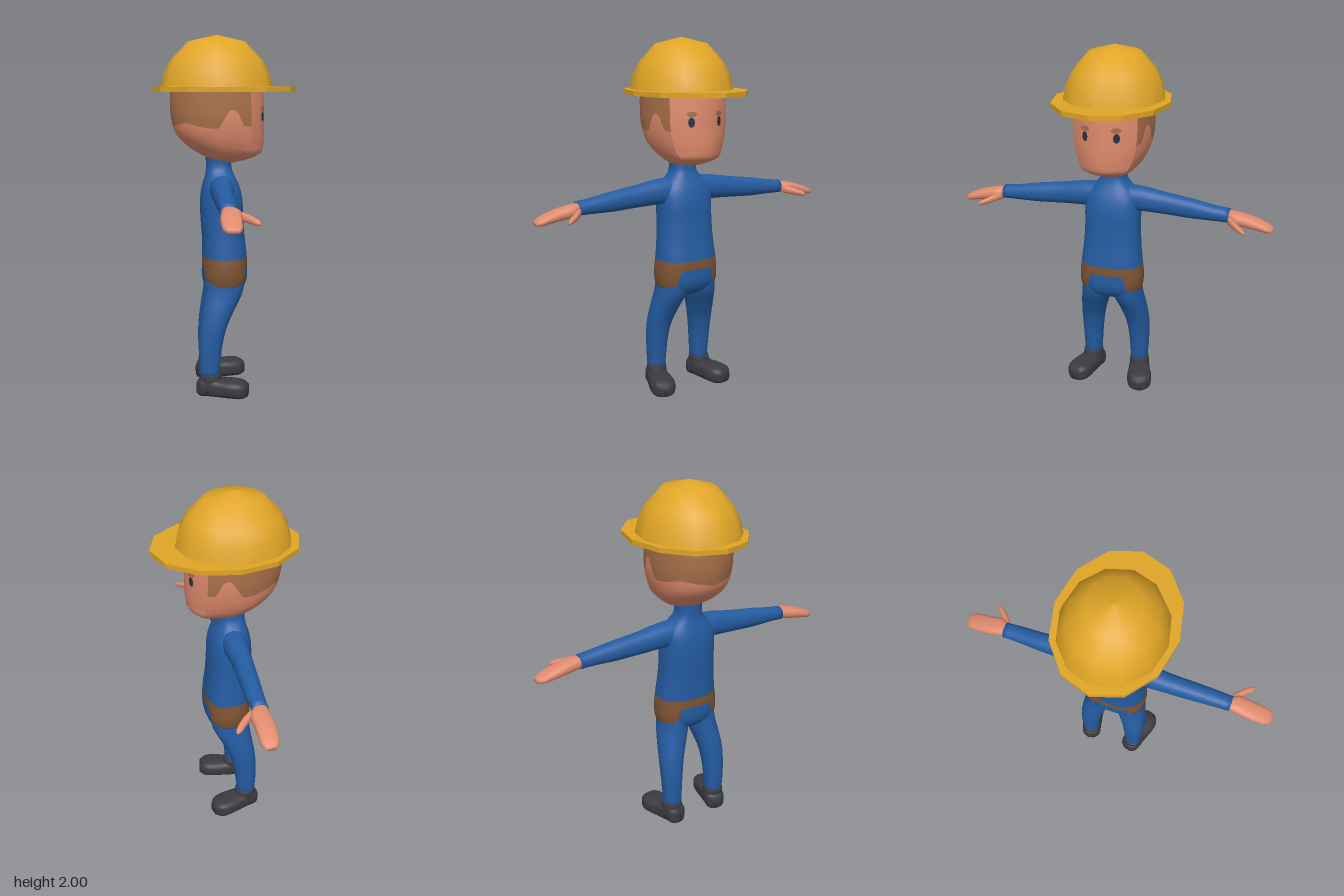
import * as THREE from 'three';
import { mergeVertices } from 'three/addons/utils/BufferGeometryUtils.js';

const mat = (name, color) => Object.assign(new THREE.MeshStandardMaterial({ color }), { name });

// Smooth curve through rows of [key, value, value, ...]
function track(rows) {
  const size = rows[0].length - 1;
  const curve = new THREE.CubicInterpolant(rows.map(r => r[0]), rows.flatMap(r => r.slice(1)), size, new Float32Array(size));
  return t => Array.from(curve.evaluate(t));
}

// Straight-line interpolation through [key, value] pairs
function polyline(pairs, t) {
  for (let i = 1; i < pairs.length; i++) {
    const [a, va] = pairs[i - 1], [b, vb] = pairs[i];
    if (t <= b) return va + (vb - va) * Math.max(0, (t - a) / (b - a));
  }
  return pairs[pairs.length - 1][1];
}

// Grid surface from point(u, v), welded so closed loops shade smoothly
function surface(nu, nv, point) {
  const pos = [], index = [];
  for (let j = 0; j <= nv; j++) for (let i = 0; i <= nu; i++) pos.push(...point(i / nu, j / nv));
  for (let j = 0; j < nv; j++) for (let i = 0; i < nu; i++) {
    const a = j * (nu + 1) + i, b = a + nu + 1;
    index.push(a, a + 1, b + 1, a, b + 1, b);
  }
  const g = new THREE.BufferGeometry();
  g.setAttribute('position', new THREE.Float32BufferAttribute(pos, 3));
  g.setIndex(index);
  const welded = mergeVertices(g, 1e-5);
  welded.computeVertexNormals();
  return welded;
}

const bend = (s, n) => Math.sign(s) * Math.abs(s) ** (2 / n);

// Rounded tube along an axis; rows: [along, centreA, centreB, radiusA, radiusB]
function loft(rows, axis, nu = 24, nv = 24, n = 2.2) {
  const at = track(rows), t0 = rows[0][0], t1 = rows[rows.length - 1][0];
  return surface(nu, nv + 2, (u, v) => {
    const k = Math.round(v * (nv + 2));
    const t = t0 + (t1 - t0) * Math.min(1, Math.max(0, (k - 1) / nv));
    const [ca, cb, ra, rb] = at(t), cap = k === 0 || k === nv + 2 ? 0 : 1;
    const th = (u === 1 ? 0 : u) * Math.PI * 2;
    const a = ca + cap * ra * bend(Math.sin(th), n), b = cb + cap * rb * bend(Math.cos(th), n);
    return axis === 'x' ? [t, b, a] : axis === 'y' ? [a, t, b] : [b, a, t];
  });
}

function mirrored(geometry) {
  const g = geometry.clone().scale(-1, 1, 1), ix = g.index.array;
  for (let i = 0; i < ix.length; i += 3) [ix[i], ix[i + 1]] = [ix[i + 1], ix[i]];
  return g;
}

export function createModel() {
  const skin = mat('skin', 0xe08b6d), hair = mat('hair', 0xa8704a), cloth = mat('blue cloth', 0x245ca2);
  const leather = mat('belt leather', 0x7d5333), yellow = mat('helmet yellow', 0xe0a526);
  const lining = mat('helmet lining', 0x7e421f), rubber = mat('shoe rubber', 0x3a3a41), dark = mat('eye', 0x2b3040);

  const model = new THREE.Group();
  model.name = 'worker';
  const body = new THREE.Group();
  body.name = 'figure';
  body.rotation.y = Math.PI / 4; // the figure stands turned to its left
  model.add(body);

  const add = (name, geometry, material) => {
    const m = new THREE.Mesh(geometry, material);
    m.name = name;
    body.add(m);
    return m;
  };
  const addPair = (name, geometry, material) => {
    add('left' + name, geometry, material);
    add('right' + name, mirrored(geometry), material);
  };

  // Torso: one surface cut into lower part, belt with side pouches, and shirt
  const torsoAt = track([
    [0.56, 0, 0.08, 0.03], [0.59, 0, 0.15, 0.09], [0.64, 0, 0.177, 0.123], [0.72, 0, 0.182, 0.128],
    [0.78, 0, 0.175, 0.126], [0.9, -0.008, 0.162, 0.12], [1.0, -0.015, 0.157, 0.12], [1.1, -0.018, 0.156, 0.118],
    [1.18, -0.022, 0.145, 0.103], [1.225, -0.025, 0.115, 0.085], [1.26, -0.03, 0.08, 0.074], [1.36, -0.035, 0.074, 0.07]]);
  const torsoBand = (low, high, nv) => surface(72, nv, (u, v) => {
    const th = (u === 1 ? 0 : u) * Math.PI * 2, y = low(th) + (high(th) - low(th)) * v;
    const [cz, a, b] = torsoAt(y);
    return [a * bend(Math.sin(th), 2.5), y, cz + b * bend(Math.cos(th), 2.5)];
  });
  const beltLow = th => polyline([[0.48, 0.73], [0.52, 0.66], [0.6, 0.63]], Math.abs(Math.sin(th)));
  add('trouserSeat', torsoBand(() => 0.56, beltLow, 8), cloth);
  add('beltWithPouches', torsoBand(beltLow, () => 0.78, 6), leather);
  add('shirt', torsoBand(() => 0.78, () => 1.36, 24), cloth);

  // Arms, hands and thumbs
  addPair('Sleeve', loft([
    [0.04, -0.02, 1.165, 0.07, 0.075], [0.16, -0.02, 1.166, 0.064, 0.07], [0.3, -0.02, 1.153, 0.054, 0.061],
    [0.45, -0.015, 1.14, 0.05, 0.054], [0.58, -0.01, 1.13, 0.045, 0.042], [0.657, -0.01, 1.125, 0.042, 0.038]], 'x'), cloth);
  addPair('Hand', loft([
    [0.645, -0.01, 1.124, 0.036, 0.03], [0.69, 0, 1.118, 0.05, 0.034], [0.75, -0.004, 1.108, 0.052, 0.032],
    [0.82, -0.004, 1.092, 0.05, 0.027], [0.87, -0.002, 1.078, 0.043, 0.02], [0.892, 0, 1.073, 0.028, 0.011]], 'x', 20, 16, 2.5), skin);
  addPair('Thumb', loft([
    [0.655, 0.03, 1.112, 0.02, 0.02], [0.69, 0.068, 1.104, 0.024, 0.02], [0.73, 0.106, 1.093, 0.02, 0.016],
    [0.752, 0.122, 1.087, 0.015, 0.012], [0.76, 0.128, 1.084, 0.007, 0.006]], 'x', 14, 10), skin);

  // Legs
  addPair('Leg', loft([
    [0.12, 0.145, -0.09, 0.05, 0.053], [0.2, 0.145, -0.088, 0.055, 0.06], [0.3, 0.143, -0.082, 0.061, 0.067],
    [0.4, 0.135, -0.066, 0.069, 0.076], [0.5, 0.115, -0.036, 0.078, 0.092], [0.58, 0.095, -0.01, 0.084, 0.107],
    [0.66, 0.085, 0, 0.085, 0.112]], 'y'), cloth);

  // Shoes, toes turned slightly out, with an ankle collar
  const placeFoot = g => g.rotateY(0.26).translate(0.147, 0, -0.085);
  addPair('Shoe', placeFoot(loft([
    [-0.075, 0.045, 0, 0.035, 0.03], [-0.06, 0.05, 0, 0.049, 0.05], [0, 0.054, 0, 0.054, 0.06],
    [0.06, 0.051, 0, 0.051, 0.065], [0.13, 0.05, 0, 0.05, 0.072], [0.19, 0.047, 0, 0.046, 0.06],
    [0.215, 0.044, 0, 0.032, 0.036]], 'z', 28, 20, 3)), rubber);
  addPair('ShoeCollar', placeFoot(loft([
    [0.03, 0, 0, 0.06, 0.066], [0.09, 0, 0, 0.058, 0.064], [0.132, 0, -0.002, 0.054, 0.058]], 'y', 24, 6)), rubber);

  // Head: rounded sides and back, with a creased edge to a gently curved face
  const headAt = track([ // y, half width, centre z, back depth, cheek z, face z
    [1.302, 0.008, 0.03, 0.008, 0.036, 0.04], [1.32, 0.085, 0.02, 0.085, 0.09, 0.12], [1.355, 0.14, 0, 0.14, 0.152, 0.2],
    [1.4, 0.174, -0.03, 0.178, 0.145, 0.215], [1.46, 0.198, -0.05, 0.215, 0.14, 0.22], [1.54, 0.213, -0.055, 0.237, 0.137, 0.22],
    [1.62, 0.215, -0.06, 0.24, 0.135, 0.22], [1.75, 0.213, -0.06, 0.235, 0.13, 0.212]]);
  const cheek = 0.968;
  const hairLine = th => polyline([[cheek, 1.51], [1.12, 1.515], [1.2, 1.585], [1.26, 1.6], [1.34, 1.6], [1.42, 1.56],
    [1.53, 1.5], [1.8, 1.505], [2.3, 1.53], [Math.PI, 1.5]], Math.PI - Math.abs(th - Math.PI));
  const skull = (low, high, nv) => surface(96, nv, (u, v) => {
    const th = cheek + u * 2 * (Math.PI - cheek), y = low(th) + (high(th) - low(th)) * v;
    const [a, c, back, cf] = headAt(y), cos = Math.cos(th);
    return [a * Math.sin(th), y, c + cos * (cos > 0 ? (cf - c) / Math.cos(cheek) : back)];
  });
  add('headSides', skull(() => 1.302, hairLine, 16), skin);
  add('hair', skull(hairLine, () => 1.75, 8), hair);
  add('face', surface(20, 24, (u, v) => {
    const y = 1.302 + 0.448 * v, s = 2 * u - 1, [a, , , cf, ff] = headAt(y);
    return [a * Math.sin(cheek) * s, y, cf + (ff - cf) * (1 - s * s)];
  }), skin);

  // Eyes and brows as thin plates on the face
  for (const side of [1, -1]) {
    const name = side > 0 ? 'left' : 'right';
    const eye = add(name + 'Eye', new THREE.CircleGeometry(1, 16).scale(0.018, 0.026, 1), dark);
    eye.position.set(side * 0.086, 1.56, 0.204);
    const brow = add(name + 'Brow', new THREE.CircleGeometry(1, 8).scale(0.029, 0.015, 1), hair);
    brow.position.set(side * 0.084, 1.602, 0.205);
    eye.rotation.y = brow.rotation.y = side * 0.43;
  }

  // Hard hat: twelve-sided dome over a wider oval brim
  const profile = [[1, 1.715], [0.93, 1.8], [0.8, 1.87], [0.5, 1.965], [0, 2]].map(p => new THREE.Vector2(...p));
  add('helmetDome', new THREE.LatheGeometry(profile, 12).scale(0.278, 1, 0.31).translate(0, 0, -0.042), yellow);
  const brim = new THREE.CylinderGeometry(1, 1, 0.026, 12).scale(0.318, 1, 0.398).translate(0, 1.708, 0).toNonIndexed();
  brim.computeVertexNormals();
  add('helmetBrim', brim, [yellow, yellow, lining]);

  return model;
}
